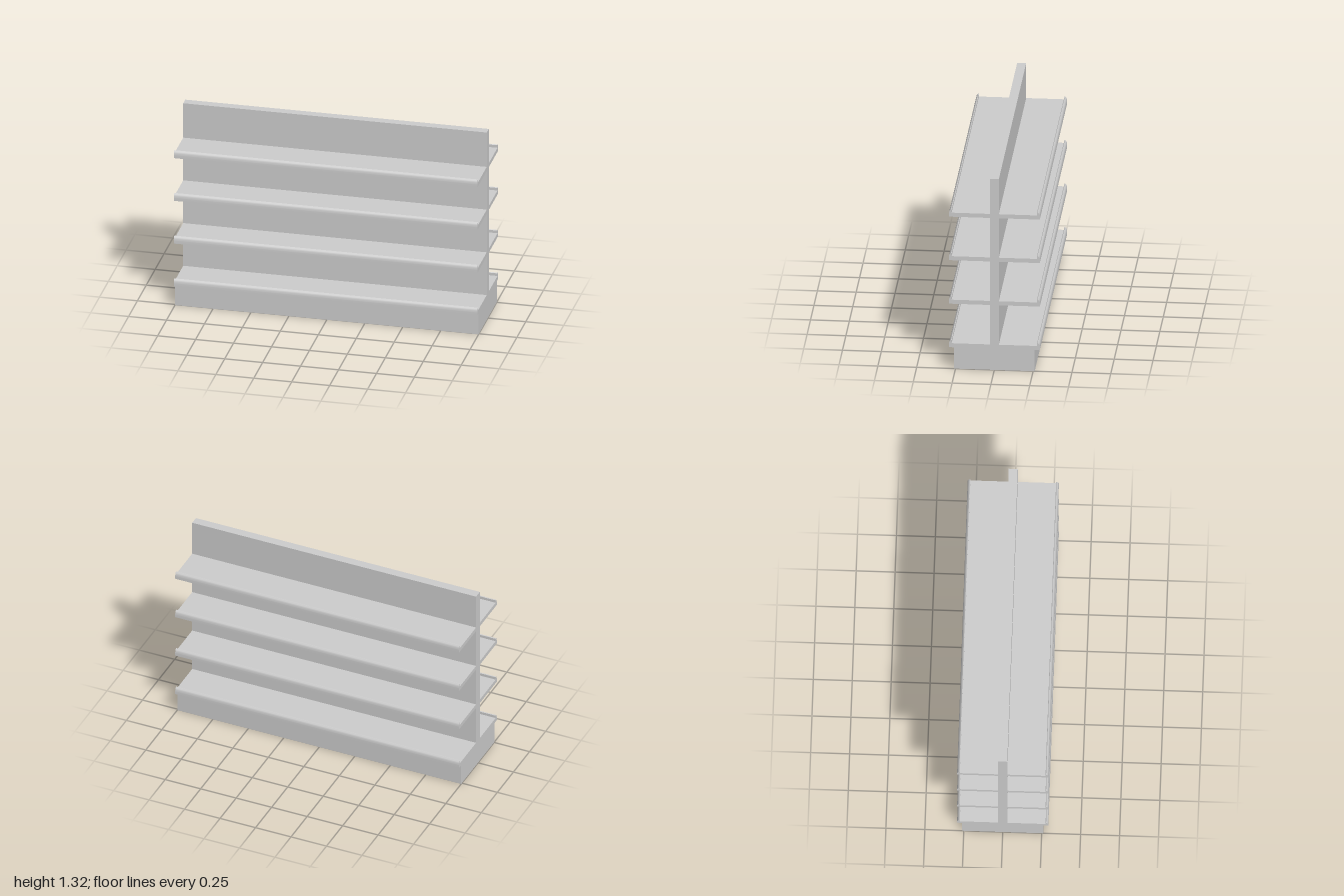
import * as THREE from 'three';
import { toCreasedNormals } from 'three/addons/utils/BufferGeometryUtils.js';

const LENGTH = 2;
const PANEL = 0.029;   // half thickness of the upright panel
const DEPTH = 0.293;   // reach of a shelf from the middle
const BASE = 0.26;     // half depth of the plinth
const FIRST = 0.147;   // underside of the lowest shelf
const STEP = 0.301;    // distance between shelves
const THICK = 0.028;

// Shelf cross-section (depth, height) with a rounded lip, swept along x
function shelfGeometry() {
  const s = new THREE.Shape();
  s.moveTo(PANEL, 0);
  s.lineTo(DEPTH, 0);
  s.lineTo(DEPTH, 0.02);
  s.quadraticCurveTo(DEPTH - 0.001, 0.041, DEPTH - 0.014, 0.05);
  s.lineTo(DEPTH - 0.018, 0.046);
  s.lineTo(DEPTH - 0.018, THICK);
  s.lineTo(PANEL, THICK);
  s.closePath();
  const g = new THREE.ExtrudeGeometry(s, { depth: LENGTH, bevelEnabled: false, curveSegments: 8 });
  g.rotateY(-Math.PI / 2);
  g.translate(LENGTH / 2, 0, 0);
  return toCreasedNormals(g, Math.PI / 5);
}

export function createModel() {
  const group = new THREE.Group();
  const solid = new THREE.MeshStandardMaterial({ color: 0xcccccc });
  const sheet = new THREE.MeshStandardMaterial({ color: 0xcccccc, side: THREE.DoubleSide });
  const add = (name, geometry, material, parent = group) => {
    const mesh = new THREE.Mesh(geometry, material);
    mesh.name = name;
    parent.add(mesh);
    return mesh;
  };

  // Upright panel, standing level with the top of the lowest shelf
  const bottom = FIRST + THICK, top = 1.32;
  add('uprightPanel', new THREE.BoxGeometry(LENGTH, top - bottom, PANEL * 2), solid)
    .position.y = (top + bottom) / 2;

  // Four shelves on each side
  const shelf = shelfGeometry();
  for (let i = 0; i < 4; i++) {
    for (const side of ['front', 'back']) {
      const mesh = add(side + 'Shelf' + (i + 1), shelf, solid);
      mesh.position.y = FIRST + i * STEP;
      if (side === 'back') mesh.rotation.y = Math.PI;
    }
  }

  // Hollow plinth, open underneath, made of thin sheets
  const plinth = new THREE.Group();
  plinth.name = 'plinth';
  group.add(plinth);
  for (const s of [1, -1]) {
    const long = add(s > 0 ? 'frontWall' : 'backWall', new THREE.PlaneGeometry(LENGTH, FIRST), sheet, plinth);
    long.position.set(0, FIRST / 2, s * BASE);
    if (s < 0) long.rotation.y = Math.PI;

    const end = add(s > 0 ? 'leftWall' : 'rightWall', new THREE.PlaneGeometry(BASE * 2, FIRST), sheet, plinth);
    end.position.set(s, FIRST / 2, 0);
    end.rotation.y = s * Math.PI / 2;

    // Closes the slot between the two lowest shelves at each end
    const cap = add(s > 0 ? 'leftSlotCap' : 'rightSlotCap', new THREE.PlaneGeometry(PANEL * 2, THICK), sheet, plinth);
    cap.position.set(s, FIRST + THICK / 2, 0);
    cap.rotation.y = s * Math.PI / 2;
  }
  return group;
}
